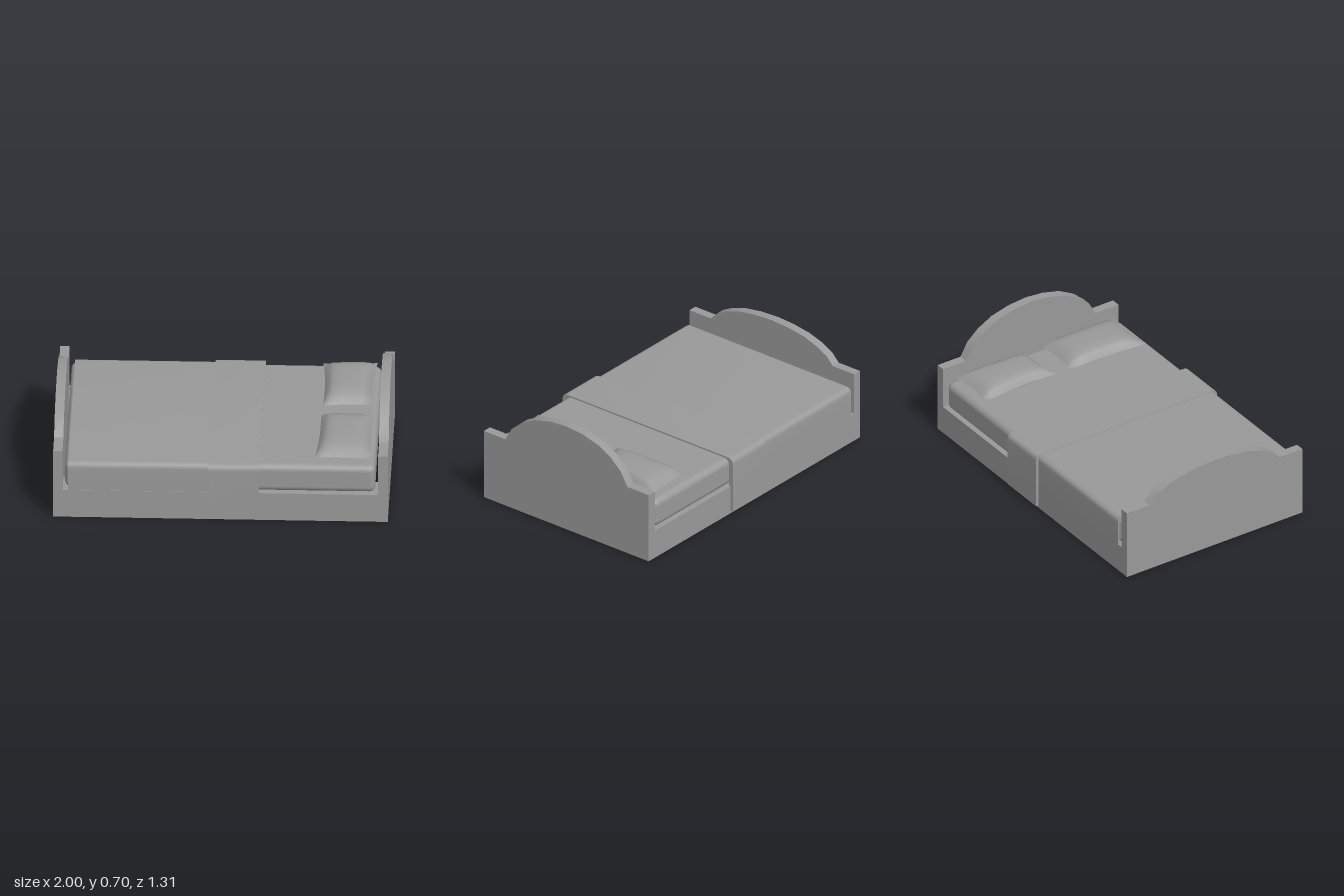
import * as THREE from 'three';
import { RoundedBoxGeometry } from 'three/addons/geometries/RoundedBoxGeometry.js';
import { toCreasedNormals } from 'three/addons/utils/BufferGeometryUtils.js';

const grey = new THREE.MeshStandardMaterial({ color: 0x999999 });
grey.name = 'grey';

function add(group, name, geometry, x = 0, y = 0, z = 0) {
  const mesh = new THREE.Mesh(geometry, grey);
  mesh.name = name;
  mesh.position.set(x, y, z);
  group.add(mesh);
}

// Extrudes a cross-section drawn in z and y along the x axis, from x0 to x1
function extrudeAlongX(shape, x0, x1) {
  const geometry = new THREE.ExtrudeGeometry(shape, { depth: x1 - x0, bevelEnabled: false, curveSegments: 6 });
  geometry.rotateY(Math.PI / 2).translate(x0, 0, 0);
  return toCreasedNormals(geometry, 0.6);
}

// End board: square shoulders with a faceted arch between them
function boardShape(rise) {
  const half = [[0.47, 0], [0.42, 0.35], [0.345, 0.615], [0.245, 0.83], [0.125, 0.955]];
  const arch = [...half, [0, 1], ...half.map(([z, h]) => [-z, h]).reverse()];
  const points = [[-0.635, 0], [0.635, 0], [0.635, 0.45],
    ...arch.map(([z, h]) => [z, 0.45 + rise * h]), [-0.635, 0.45]];
  return new THREE.Shape(points.map(([z, y]) => new THREE.Vector2(z, y)));
}

// Cloth draped over the mattress: an upside-down U with rounded shoulders
function drapeShape(w, bottom, top, t, r) {
  const s = new THREE.Shape();
  const ri = r - t / 2, wi = w - t, ti = top - t;
  s.moveTo(w, bottom);
  s.lineTo(w, top - r);
  s.quadraticCurveTo(w, top, w - r, top);
  s.lineTo(-w + r, top);
  s.quadraticCurveTo(-w, top, -w, top - r);
  s.lineTo(-w, bottom);
  s.lineTo(-wi, bottom);
  s.lineTo(-wi, ti - ri);
  s.quadraticCurveTo(-wi, ti, -wi + ri, ti);
  s.lineTo(wi - ri, ti);
  s.quadraticCurveTo(wi, ti, wi, ti - ri);
  s.lineTo(wi, bottom);
  s.closePath();
  return s;
}

// Pillow half: a grid stretched between four [x, z] corners and puffed up or down
function pillowHalf(corners, puff) {
  const n = 12, up = puff > 0;
  const geometry = new THREE.PlaneGeometry(2, 2, n, n);
  const p = geometry.attributes.position;
  const [a, b, c, d] = corners; // back left, back right, front right, front left
  for (let i = 0; i < p.count; i++) {
    const u = p.getX(i), v = up ? -p.getY(i) : p.getY(i);
    const s = (u + 1) / 2, t = (v + 1) / 2;
    const mix = k => (a[k] * (1 - s) + b[k] * s) * (1 - t) + (d[k] * (1 - s) + c[k] * s) * t;
    // sides pull in slightly between the corners
    const x = mix(0) - 0.012 * u * (1 - v * v);
    const z = mix(1) - 0.012 * v * (1 - u * u);
    const h = Math.pow(Math.max(0, (1 - u ** 4) * (1 - v ** 4)), 0.65);
    p.setXYZ(i, x, 0.397 + puff * h, z);
  }
  geometry.computeVertexNormals();
  return geometry;
}

export function createModel() {
  const bed = new THREE.Group();
  bed.name = 'bed';

  // Frame
  add(bed, 'headboard', extrudeAlongX(boardShape(0.25), 0.942, 1));
  add(bed, 'footboard', extrudeAlongX(boardShape(0.15), -1, -0.944));
  for (const side of [-1, 1]) {
    add(bed, side > 0 ? 'frontRail' : 'backRail',
      new THREE.BoxGeometry(1.886, 0.183, 0.16), -0.001, 0.0915, side * 0.555);
  }

  // Bedding
  add(bed, 'mattress', new RoundedBoxGeometry(1.855, 0.18, 1.25, 4, 0.04), -0.003, 0.276, 0);
  add(bed, 'blanket', extrudeAlongX(drapeShape(0.638, 0.186, 0.372, 0.011, 0.04), -0.91, 0.23));
  add(bed, 'foldedBand', extrudeAlongX(drapeShape(0.656, 0.02, 0.376, 0.018, 0.04), -0.07, 0.23));

  // Pillows, each lying a little askew
  const pillows = {
    backPillow: [[0.575, -0.57], [0.9, -0.585], [0.878, -0.08], [0.588, -0.055]],
    frontPillow: [[0.58, 0.04], [0.9, 0.04], [0.9, 0.575], [0.56, 0.572]],
  };
  for (const [name, corners] of Object.entries(pillows)) {
    const pillow = new THREE.Group();
    pillow.name = name;
    add(pillow, 'pillowTop', pillowHalf(corners, 0.057));
    add(pillow, 'pillowUnderside', pillowHalf(corners, -0.03));
    bed.add(pillow);
  }
  return bed;
}
